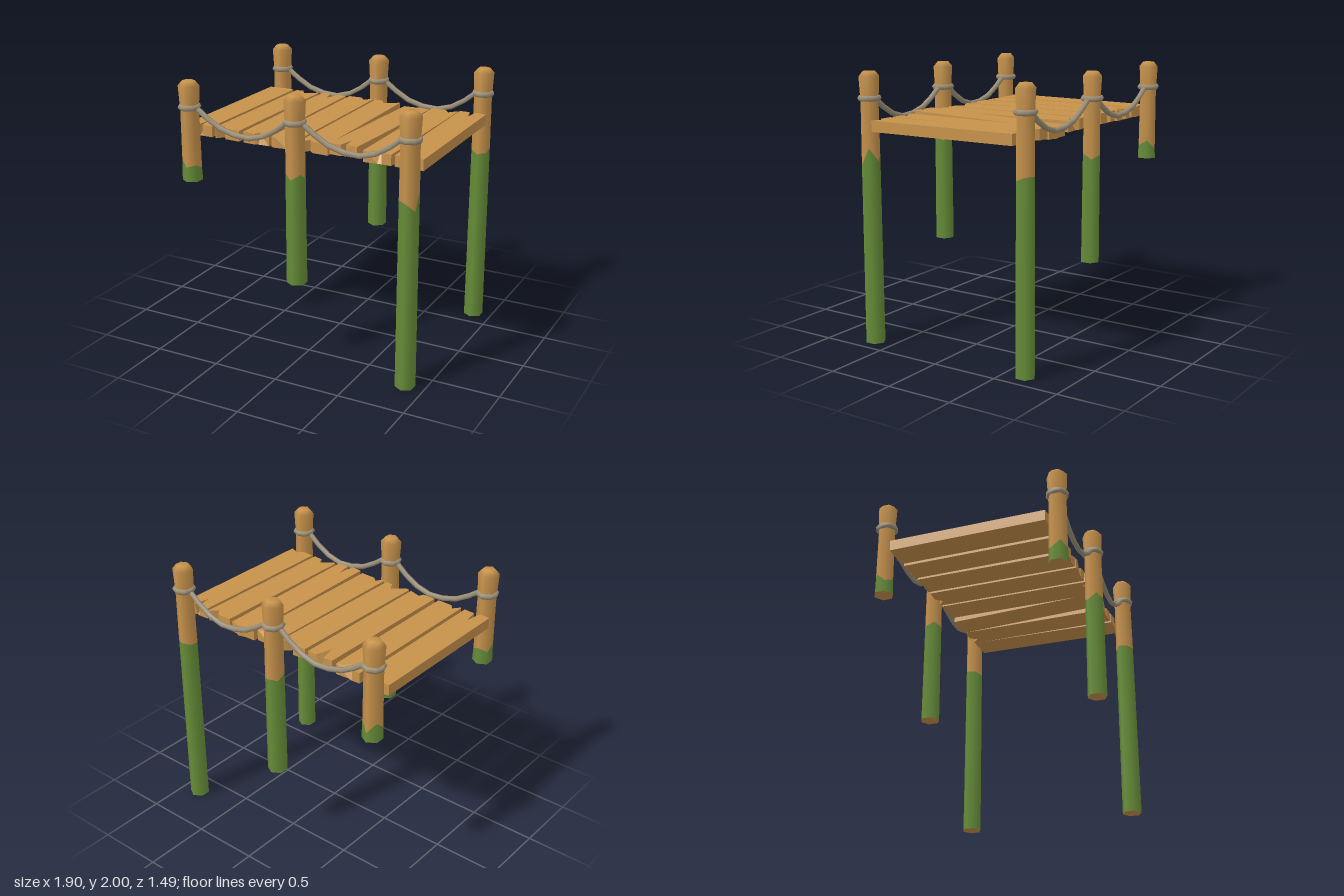
import * as THREE from 'three';

const wood = new THREE.MeshStandardMaterial({ color: 0xc7924b });
wood.name = 'wood';
const moss = new THREE.MeshStandardMaterial({ color: 0x668d38 });
moss.name = 'moss';
const rope = new THREE.MeshStandardMaterial({ color: 0x9c9078 });
rope.name = 'rope';

function addMesh(parent, name, geometry, material) {
  const mesh = new THREE.Mesh(geometry, material);
  mesh.name = name;
  parent.add(mesh);
  return mesh;
}

// Six-sided lathe whose ring number `ring` follows the ragged moss line
function raggedLathe(profile, ring, heights) {
  const geo = new THREE.LatheGeometry(profile.map(([r, y]) => new THREE.Vector2(r, y)), 6);
  const pos = geo.attributes.position;
  for (let side = 0; side <= 6; side++) {
    pos.setY(side * profile.length + ring, heights[side % 6]);
  }
  return geo;
}

// Post: mossy foot, bare wooden top with a flared head, and a rope ring
function makePost(x, z, bottom, mossLine) {
  const post = new THREE.Group();
  post.name = 'post';
  post.position.set(x, 0, z);
  addMesh(post, 'mossyFoot', raggedLathe([[0.074, bottom], [0.07, 1.4]], 1, mossLine), moss);
  addMesh(post, 'postTop', raggedLathe(
    [[0.07, 1.4], [0.067, 1.78], [0.077, 1.965], [0.046, 2], [0, 2]], 0, mossLine), wood);
  const base = new THREE.CircleGeometry(0.074, 6, Math.PI / 2);
  base.rotateX(Math.PI / 2);
  addMesh(post, 'postBase', base, wood).position.y = bottom;
  const ring = new THREE.TorusGeometry(0.064, 0.022, 6, 8);
  ring.rotateX(Math.PI / 2);
  addMesh(post, 'ropeRing', ring, rope).position.y = 1.81;
  return post;
}

// Sagging rope between two posts
function makeRope(x0, x1, z) {
  const sag = [[0.06, 1.81], [0.27, 1.69], [0.45, 1.645], [0.62, 1.645], [0.79, 1.71], [0.94, 1.81]];
  const points = sag.map(([t, y]) => new THREE.Vector3(x0 + (x1 - x0) * t, y, z));
  return new THREE.TubeGeometry(new THREE.CatmullRomCurve3(points), 7, 0.02, 6);
}

// Plank with a splintered notch at each end.
// notch = [start x, tip x, end x, depth, cut right through]
function makePlank({ x, back, front, skew = 0 }) {
  const END = 0.592;
  const [x0, x1] = x;
  const shape = new THREE.Shape();
  shape.moveTo(x0 + skew, -END);
  shape.lineTo(back[0], -END - 0.004);
  shape.lineTo(back[1], -END + back[3]);
  shape.lineTo(back[2], -END - 0.004);
  shape.lineTo(x1 + skew, -END);
  shape.lineTo(x1 - skew, END);
  shape.lineTo(front[2], END - 0.006);
  shape.lineTo(front[1], END - front[3]);
  shape.lineTo(front[0], END + 0.006);
  shape.lineTo(x0 - skew, END);
  const geo = new THREE.ExtrudeGeometry(shape, { depth: 0.08, bevelEnabled: false });
  geo.rotateX(Math.PI / 2);
  // Notches that are only dents close up towards the underside
  const pos = geo.attributes.position;
  for (let i = 0; i < pos.count; i++) {
    const z = pos.getZ(i);
    const notch = z < 0 ? back : front;
    if (pos.getY(i) < -0.04 && Math.abs(z) < END - 0.02 && !notch[4]) {
      pos.setZ(i, Math.sign(z) * (END - 0.004));
    }
  }
  geo.computeVertexNormals();
  return geo;
}

const planks = [
  { x: [-0.94, -0.73], back: [-0.83, -0.79, -0.76, -0.012, true], front: [-0.855, -0.835, -0.815, 0.13], y: 1.66 },
  { x: [-0.7, -0.5], back: [-0.64, -0.6, -0.51, 0.06], front: [-0.69, -0.65, -0.62, 0.045, true], y: 1.66 },
  { x: [-0.465, -0.255], back: [-0.395, -0.365, -0.325, 0.12], front: [-0.365, -0.345, -0.265, 0.035], y: 1.663, tilt: 0.006 },
  { x: [-0.23, -0.02], back: [-0.12, -0.08, -0.03, 0.045, true], front: [-0.21, -0.115, -0.08, 0.065], y: 1.664, tilt: 0.008, skew: 0.004 },
  { x: [0, 0.21], back: [0.06, 0.1, 0.2, 0.06], front: [0.02, 0.055, 0.09, 0.04, true], y: 1.664, tilt: 0.005 },
  { x: [0.238, 0.447], back: [0.33, 0.385, 0.42, -0.018, true], front: [0.315, 0.335, 0.35, 0.13], y: 1.662, tilt: -0.025, skew: 0.01 },
  { x: [0.48, 0.69], back: [0.59, 0.63, 0.68, 0.05, true], front: [0.5, 0.585, 0.615, 0.065], y: 1.66 },
  { x: [0.71, 0.918], back: [0.78, 0.81, 0.825, 0.12], front: [0.81, 0.85, 0.91, 0.03], y: 1.664, tilt: 0.006, skew: -0.006 },
];

export function createModel() {
  const model = new THREE.Group();
  model.name = 'ropeJetty';

  // Posts lengthen along the slope; moss heights run round from the front
  const postX = [-0.867, -0.004, 0.857];
  const bottoms = [1.26, 0.62, 0];
  const mossLines = {
    front: [
      [1.37, 1.385, 1.35, 1.39, 1.36, 1.41],
      [1.41, 1.45, 1.4, 1.42, 1.39, 1.44],
      [1.385, 1.33, 1.46, 1.36, 1.4, 1.39],
    ],
    back: [
      [1.38, 1.36, 1.4, 1.33, 1.41, 1.35],
      [1.4, 1.42, 1.38, 1.41, 1.4, 1.43],
      [1.35, 1.36, 1.39, 1.39, 1.38, 1.37],
    ],
  };
  for (const [side, z] of [['front', 0.66], ['back', -0.66]]) {
    const railing = new THREE.Group();
    railing.name = side + 'Railing';
    model.add(railing);
    postX.forEach((x, i) => {
      railing.add(makePost(x, z, bottoms[i], mossLines[side][i]));
      if (i) addMesh(railing, 'rope', makeRope(postX[i - 1], x, z), rope);
    });
  }

  // Deck
  const deck = new THREE.Group();
  deck.name = 'deck';
  model.add(deck);
  for (const plank of planks) {
    const mesh = addMesh(deck, 'plank', makePlank(plank), wood);
    mesh.position.y = plank.y;
    mesh.rotation.x = plank.tilt ?? 0;
  }
  return model;
}
